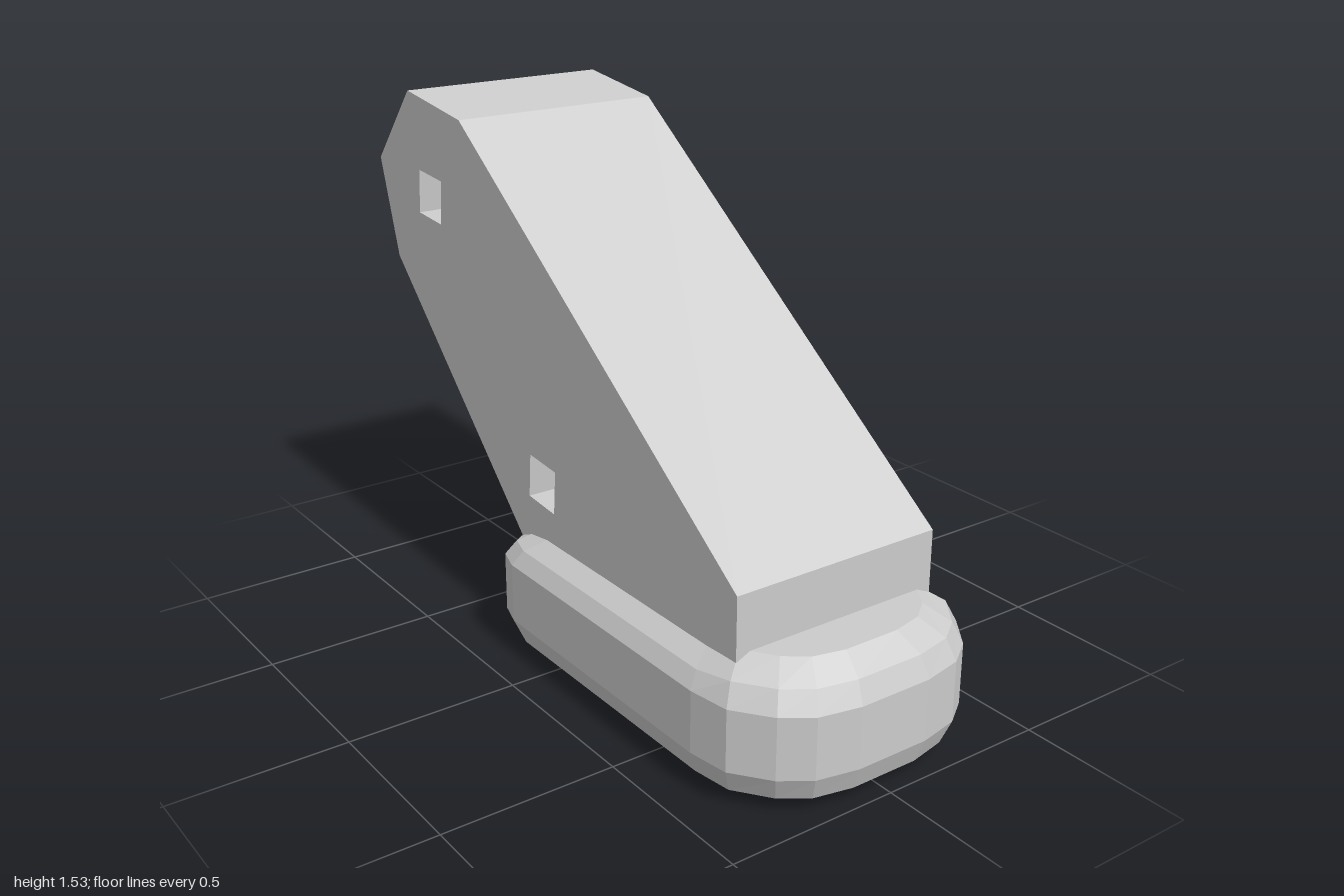
import * as THREE from 'three';

const material = new THREE.MeshStandardMaterial({ color: 0xcccccc, flatShading: true });

function addMesh(group, name, geometry) {
  const mesh = new THREE.Mesh(geometry, material);
  mesh.name = name;
  group.add(mesh);
  return mesh;
}

// Slanted arm: side profile with two square through-holes
function armGeometry() {
  const profile = [[-0.1, 0.21], [0.775, 0.21], [0.775, 0.55], [-0.5, 1.49],
    [-0.8, 1.53], [-1, 1.3], [-0.91, 1.01], [-0.24, 0.35]];
  const shape = new THREE.Shape(profile.map(([x, y]) => new THREE.Vector2(x, y)));
  for (const [x, y] of [[-0.69, 1.235], [-0.105, 0.53]]) {
    const corners = [];
    for (let i = 0; i < 4; i++) {
      const a = -(i + 0.5) * Math.PI / 2 - 0.08;
      corners.push(new THREE.Vector2(x + 0.092 * Math.cos(a), y + 0.092 * Math.sin(a)));
    }
    shape.holes.push(new THREE.Path(corners));
  }
  const geometry = new THREE.ExtrudeGeometry(shape, { depth: 0.645, bevelEnabled: false });
  return geometry.translate(0, 0, -0.3225);
}

// Rounded foot: one half outline mirrored in z, stacked in inset layers
function footGeometry() {
  const half = [[-0.275, 0.16], [-0.25, 0.34], [-0.225, 0.38], [-0.15, 0.403], [0.7, 0.403],
    [0.82, 0.385], [0.92, 0.31], [0.975, 0.23], [1, 0.11]];
  const outline = [...half, ...half.map(([x, z]) => [x, -z]).reverse()];
  const layers = [[0, 0.1], [0.04, 0.027], [0.11, 0], [0.285, 0], [0.345, 0.027], [0.39, 0.095]];
  const midX = 0.3625, halfX = 0.6375, halfZ = 0.403;
  const n = outline.length, positions = [], index = [];

  for (const [y, inset] of layers) {
    for (const [x, z] of outline) {
      // the top sinks slightly behind the toe
      const drop = y > 0.3 && x < 0.75 ? 0.015 : 0;
      positions.push(midX + (x - midX) * (1 - inset / halfX), y - drop, z * (1 - inset / halfZ));
    }
  }
  for (let k = 0; k < layers.length - 1; k++) {
    for (let i = 0; i < n; i++) {
      const a = k * n + i, b = k * n + (i + 1) % n;
      index.push(a, b, b + n, a, b + n, a + n);
    }
  }
  // Bottom and top caps, strip by strip between mirrored points
  const top = (layers.length - 1) * n;
  for (let i = 0; i < half.length - 1; i++) {
    const a = i, b = i + 1, c = n - 2 - i, d = n - 1 - i;
    index.push(a, c, b, a, d, c);
    index.push(top + a, top + b, top + c, top + a, top + c, top + d);
  }
  const geometry = new THREE.BufferGeometry();
  geometry.setAttribute('position', new THREE.Float32BufferAttribute(positions, 3));
  geometry.setIndex(index);
  const flat = geometry.toNonIndexed();
  flat.computeVertexNormals();
  return flat;
}

export function createModel() {
  const group = new THREE.Group();
  group.name = 'angledBracket';
  addMesh(group, 'arm', armGeometry());
  addMesh(group, 'foot', footGeometry());

  // Small stud on the heel face
  const stud = addMesh(group, 'heelStud', new THREE.SphereGeometry(0.05, 8, 6));
  stud.scale.x = 0.4;
  stud.position.set(-0.272, 0.2, 0);
  return group;
}
